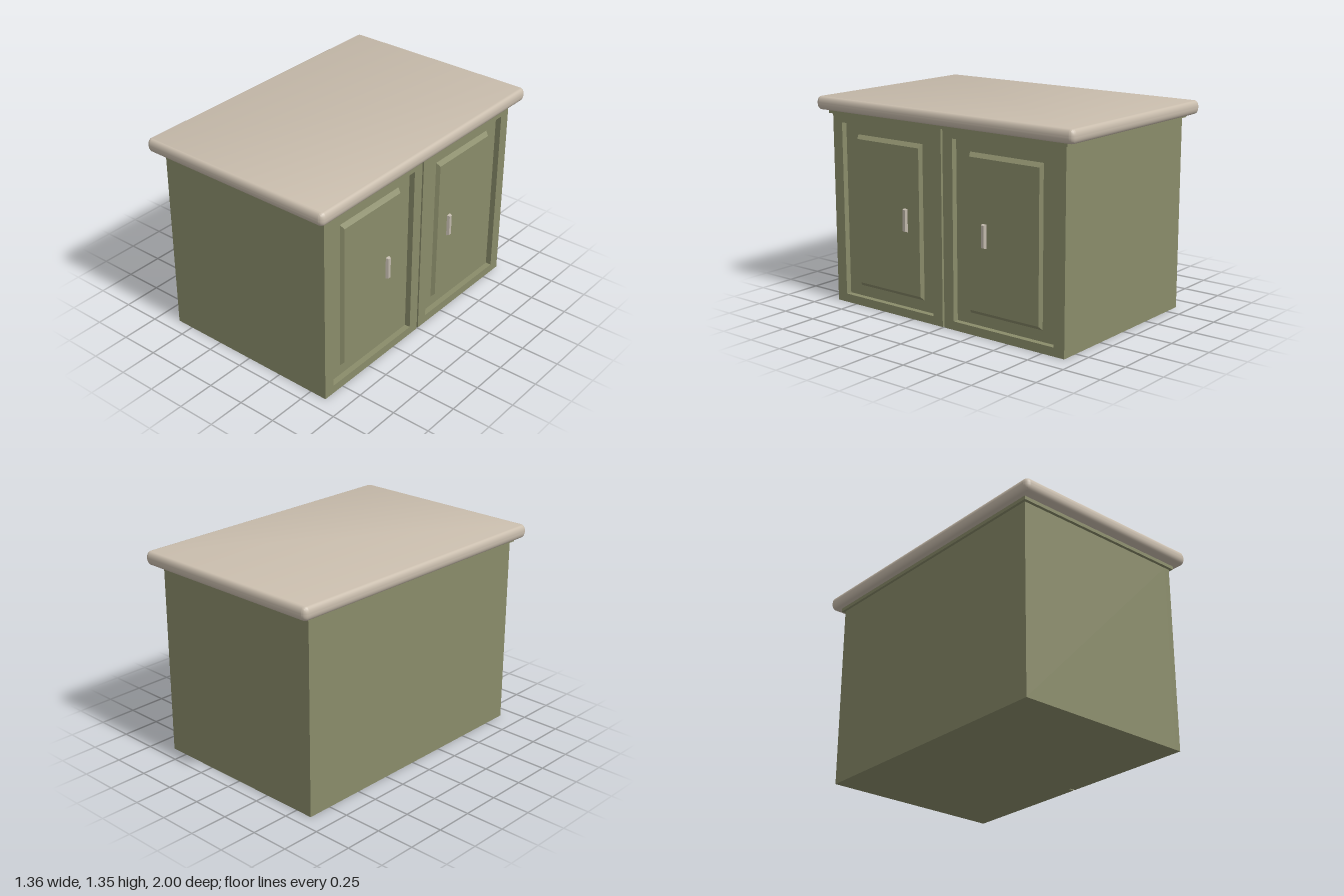
import * as THREE from 'three';
import { toCreasedNormals } from 'three/addons/utils/BufferGeometryUtils.js';

const olive = new THREE.MeshStandardMaterial({ name: 'olive paint', color: 0x8a8c6a });
const stone = new THREE.MeshStandardMaterial({ name: 'beige stone', color: 0xc9bdad });
const metal = new THREE.MeshStandardMaterial({ name: 'pale metal', color: 0xc0b8ab });

function addMesh(parent, name, geometry, material, x = 0, y = 0, z = 0) {
  const mesh = new THREE.Mesh(geometry, material);
  mesh.name = name;
  mesh.position.set(x, y, z);
  parent.add(mesh);
  return mesh;
}

// Box whose +x face is pulled in, giving sloped edges
function taperedBlock(depth, height, width, insetY, insetZ) {
  const g = new THREE.BoxGeometry(depth, height, width);
  const p = g.attributes.position;
  for (let i = 0; i < p.count; i++) {
    if (p.getX(i) < 0) continue;
    p.setY(i, p.getY(i) - Math.sign(p.getY(i)) * insetY);
    p.setZ(i, p.getZ(i) - Math.sign(p.getZ(i)) * insetZ);
  }
  g.computeVertexNormals();
  return g;
}

function rectangle(path, x0, y0, x1, y1) {
  path.moveTo(x0, y0).lineTo(x1, y0).lineTo(x1, y1).lineTo(x0, y1).closePath();
  return path;
}

// Slab with a half-round edge all the way around
function worktopGeometry(w, d, h, bulge) {
  const a = w / 2 - bulge, b = d / 2 - bulge, r = 0.01, flat = 0.006;
  const s = new THREE.Shape();
  s.absarc(a - r, b - r, r, 0, Math.PI / 2);
  s.absarc(-a + r, b - r, r, Math.PI / 2, Math.PI);
  s.absarc(-a + r, -b + r, r, Math.PI, Math.PI * 1.5);
  s.absarc(a - r, -b + r, r, Math.PI * 1.5, Math.PI * 2);
  s.closePath();
  const g = new THREE.ExtrudeGeometry(s, {
    depth: flat, curveSegments: 4, bevelEnabled: true,
    bevelSize: bulge, bevelThickness: (h - flat) / 2, bevelSegments: 6,
  });
  g.translate(0, 0, -flat / 2);
  g.rotateX(-Math.PI / 2);
  return toCreasedNormals(g, 0.7);
}

export function createModel() {
  const model = new THREE.Group();
  model.name = 'cabinet';

  const front = 0.615, recess = 0.038, floorX = front - recess;

  // Carcass behind the door frames
  addMesh(model, 'carcass', new THREE.BoxGeometry(floorX + front, 1.24, 1.82), olive,
    (floorX - front) / 2, 0.62, 0);

  // Pair of doors on the +x side, with a narrow gap between them
  for (const side of [1, -1]) {
    const door = new THREE.Group();
    door.name = side > 0 ? 'doorNear' : 'doorFar';
    model.add(door);

    const span = (a, b) => (side > 0 ? [-b, -a] : [a, b]);
    const [f0, f1] = span(0.007, 0.91);
    const [h0, h1] = span(0.082, 0.833);
    const outline = rectangle(new THREE.Shape(), f0, 0, f1, 1.24);
    outline.holes.push(rectangle(new THREE.Path(), h0, 0.055, h1, 1.185));
    const frame = new THREE.ExtrudeGeometry(outline, { depth: recess, bevelEnabled: false });
    frame.rotateY(Math.PI / 2);
    addMesh(door, 'doorFrame', frame, olive, floorX, 0, 0);

    addMesh(door, 'raisedPanel', taperedBlock(0.024, 0.99, 0.54, 0.025, 0.013), olive,
      floorX + 0.012, 0.62, side * 0.458);

    addMesh(door, 'handle', taperedBlock(0.02, 0.15, 0.033, 0.006, 0.006), metal,
      floorX + 0.032, 0.625, side * 0.313);
  }

  // Moulding under the worktop
  addMesh(model, 'moulding', new THREE.BoxGeometry(1.264, 0.024, 1.86), olive, 0, 1.25, 0);

  // Overhanging worktop
  addMesh(model, 'worktop', worktopGeometry(1.36, 2, 0.084, 0.024), stone, 0, 1.303, 0);

  return model;
}
